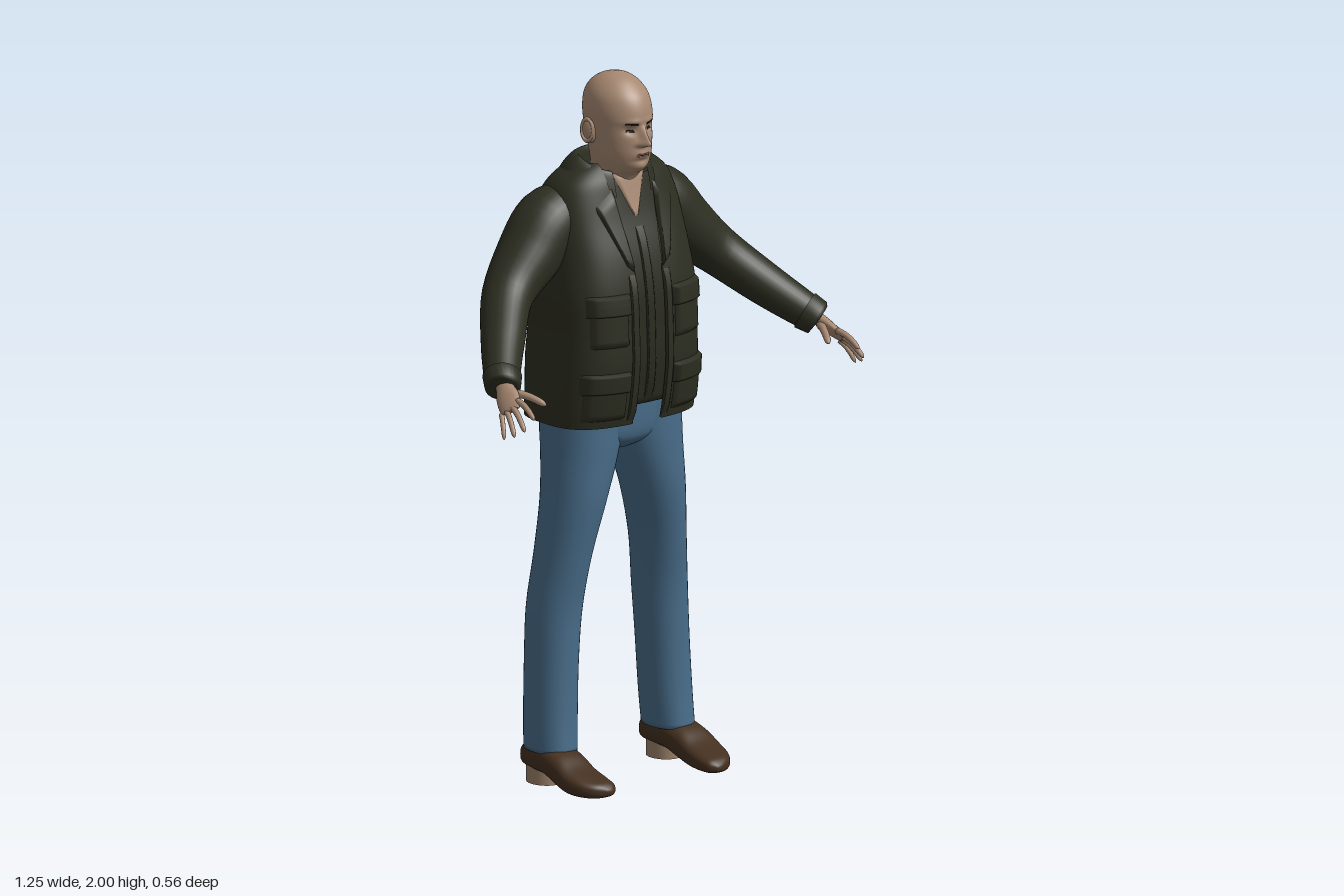
import * as THREE from 'three';

const mat = (name, color, side = THREE.FrontSide) => new THREE.MeshStandardMaterial({ name, color, side });
const { smoothstep } = THREE.MathUtils;

// Catmull-Rom resampling of rows of numbers, k steps per span
function smooth(rows, k = 5) {
  const out = [], at = i => rows[Math.min(Math.max(i, 0), rows.length - 1)];
  for (let i = 0; i < rows.length - 1; i++) for (let j = 0; j < k; j++) {
    const t = j / k, t2 = t * t, t3 = t2 * t;
    out.push(at(i).map((b, c) => {
      const a = at(i - 1)[c], d = at(i + 1)[c], e = at(i + 2)[c];
      return 0.5 * (2 * b + (d - a) * t + (2 * a - 5 * b + 4 * d - e) * t2 + (3 * b - a - 3 * d + e) * t3);
    }));
  }
  out.push(rows[rows.length - 1]);
  return out;
}

// Skin over rings of points; s = -1 mirrors to the other side
function skin(name, material, rings, { closed = true, caps = true, s = 1 } = {}) {
  const n = rings[0].length, pos = [], idx = [];
  const tri = (a, b, c) => (s > 0 ? idx.push(a, b, c) : idx.push(a, c, b));
  rings.flat().forEach(p => pos.push(p.x * s, p.y, p.z));
  for (let i = 0; i < rings.length - 1; i++) for (let j = 0; j < (closed ? n : n - 1); j++) {
    const a = i * n + j, b = i * n + (j + 1) % n;
    tri(a, a + n, b);
    tri(b, a + n, b + n);
  }
  if (closed && caps) [0, rings.length - 1].forEach(r => {
    const c = rings[r].reduce((q, p) => q.add(p), new THREE.Vector3()).divideScalar(n), k = pos.length / 3;
    pos.push(c.x * s, c.y, c.z);
    for (let j = 0; j < n; j++) {
      const a = r * n + j, b = r * n + (j + 1) % n;
      r ? tri(a, k, b) : tri(a, b, k);
    }
  });
  const g = new THREE.BufferGeometry();
  g.setAttribute('position', new THREE.Float32BufferAttribute(pos, 3));
  g.setIndex(idx);
  g.computeVertexNormals();
  const m = new THREE.Mesh(g, material);
  m.name = name;
  return m;
}

const pw = (v, p) => Math.sign(v) * Math.abs(v) ** p;

// Upright loft: rows [y, halfWidth, zFront, zBack, power, centreX]; gap(y) leaves the front open
function loft(name, material, rows, { n = 40, gap = null, mod = null, s = 1 } = {}) {
  const rings = rows.map(([y, rx, zf, zb, p = 1, cx = 0]) => {
    const g = gap ? Math.asin(Math.min(0.99, gap(y) / rx) ** (1 / p)) : 0;
    return Array.from({ length: n }, (_, j) => {
      const t = Math.PI / 2 + g + (2 * Math.PI - 2 * g) * j / (gap ? n - 1 : n);
      const v = new THREE.Vector3(cx + rx * pw(Math.cos(t), p), y, (zf + zb) / 2 + (zf - zb) / 2 * pw(Math.sin(t), p));
      if (mod) mod(v);
      return v;
    });
  });
  return skin(name, material, rings, { closed: !gap, s });
}

// Loft along a path: rows [x, y, z, radiusAlongRef, otherRadius]
function limb(name, material, rows, ref, s, n = 16) {
  const pts = rows.map(r => new THREE.Vector3(r[0], r[1], r[2]));
  return skin(name, material, rows.map((r, i) => {
    const T = pts[Math.min(i + 1, pts.length - 1)].clone().sub(pts[Math.max(i - 1, 0)]).normalize();
    const u = ref.clone().addScaledVector(T, -ref.dot(T)).normalize(), v = u.clone().cross(T);
    return Array.from({ length: n }, (_, j) => {
      const t = 2 * Math.PI * j / n;
      return pts[i].clone().addScaledVector(u, r[3] * Math.cos(t)).addScaledVector(v, r[4] * Math.sin(t));
    });
  }), { s });
}

// Front depth of an upright loft at (x, y)
const frontZ = rows => (x, y) => {
  let i = 0;
  while (i < rows.length - 2 && rows[i + 1][0] < y) i++;
  const k = Math.min(1, Math.max(0, (y - rows[i][0]) / (rows[i + 1][0] - rows[i][0])));
  const [, rx, zf, zb, p] = rows[i].map((a, c) => a + (rows[i + 1][c] - a) * k);
  const q = Math.max(0, 1 - Math.min(1, Math.abs(x) / rx) ** (2 / p));
  return (zf + zb) / 2 + (zf - zb) / 2 * q ** (p / 2);
};

// Raised panel laid on a front surface; corners bottom-left, bottom-right, top-right, top-left
function panel(name, material, zAt, [bl, br, tr, tl], lift, s = 1, n = 12) {
  const mix = (a, b, k) => a + (b - a) * k;
  const rings = Array.from({ length: n + 1 }, (_, i) => Array.from({ length: n + 1 }, (_, j) => {
    const u = 1 - j / n, v = i / n, edge = !i || !j || i === n || j === n;
    const x = mix(mix(bl[0], br[0], u), mix(tl[0], tr[0], u), v);
    const y = mix(mix(bl[1], br[1], u), mix(tl[1], tr[1], u), v);
    return new THREE.Vector3(x, y, zAt(x, y) + (edge ? -0.003 : lift));
  }));
  return skin(name, material, rings, { closed: false, s: -s < 0 ? 1 : -1 });
}
const rect = (x0, x1, y0, y1) => [[x0, y0], [x1, y0], [x1, y1], [x0, y1]];

export function createModel() {
  const root = new THREE.Group();
  root.name = 'standingMan';
  const add = (...m) => root.add(...m);
  const skinMat = mat('skin', 0xa68871, THREE.DoubleSide), jacket = mat('olive jacket', 0x2d2e21, THREE.DoubleSide);
  const shirt = mat('dark lining', 0x292a1e, THREE.DoubleSide), denim = mat('blue denim', 0x486c89);
  const leather = mat('brown leather', 0x44301f), tan = mat('tan heel', 0x9a8068);
  const dark = mat('dark detail', 0x241c17, THREE.DoubleSide), lip = mat('lips', 0x8c6656, THREE.DoubleSide);

  // Head and neck, with the face shaped by soft bumps
  const headRows = smooth([
    [1.58, 0.06, 0, -0.16, 1], [1.68, 0.06, -0.012, -0.16, 1], [1.715, 0.062, -0.002, -0.16, 1],
    [1.735, 0.062, 0.026, -0.158, 1], [1.755, 0.068, 0.04, -0.157, 1], [1.785, 0.075, 0.046, -0.16, 1],
    [1.82, 0.08, 0.046, -0.168, 1], [1.86, 0.084, 0.043, -0.175, 1], [1.9, 0.086, 0.042, -0.178, 1],
    [1.94, 0.08, 0.028, -0.171, 1], [1.97, 0.063, 0.001, -0.15, 1], [1.99, 0.037, -0.03, -0.117, 1],
    [2, 0.003, -0.07, -0.076, 1]], 8);
  const bell = (d, w) => Math.exp(-((d / w) ** 2));
  const bump = (x, y) => {
    const a = Math.abs(x), nose = smoothstep(y, 1.805, 1.818) * Math.min(1, Math.max(0, (1.872 - y) / 0.05));
    return 0.034 * nose * bell(x, 0.009 + 0.007 * bell(y - 1.816, 0.013)) - 0.011 * bell(a - 0.033, 0.016) * bell(y - 1.855, 0.012)
      + 0.004 * bell(y - 1.879, 0.008) * bell(a - 0.028, 0.03) + 0.004 * bell(x, 0.025) * bell(y - 1.785, 0.01)
      - 0.004 * bell(x, 0.025) * bell(y - 1.768, 0.006) + 0.005 * bell(x, 0.02) * bell(y - 1.748, 0.01);
  };
  add(loft('head', skinMat, headRows, { n: 112, mod: v => { if (v.z > -0.06 && v.y > 1.72) v.z += bump(v.x, v.y); } }));
  const headZ = frontZ(headRows), faceZ = (x, y) => headZ(x, y) + bump(x, y);
  add(panel('mouth', lip, faceZ, rect(-0.025, 0.025, 1.78, 1.79), 0.0015));
  add(panel('mouthLine', dark, faceZ, rect(-0.022, 0.022, 1.7845, 1.7865), 0.0025));

  // Jacket shell, open down the front, over an inner layer
  const bodyRows = smooth([
    [1.03, 0.235, 0.06, -0.27, 0.65], [1.1, 0.235, 0.075, -0.27, 0.65], [1.2, 0.231, 0.088, -0.274, 0.65],
    [1.3, 0.227, 0.086, -0.266, 0.65], [1.4, 0.227, 0.08, -0.278, 0.65], [1.5, 0.22, 0.06, -0.283, 0.68],
    [1.6, 0.212, 0.027, -0.264, 0.72], [1.66, 0.2, 0.01, -0.24, 0.78], [1.7, 0.182, 0, -0.22, 0.85],
    [1.73, 0.15, -0.008, -0.2, 0.95], [1.755, 0.105, -0.012, -0.175, 1]]);
  const innerRows = bodyRows.filter(r => r[0] > 1.07 && r[0] < 1.715)
    .map(([y, rx, zf, zb, p]) => [y, rx - 0.014, zf - 0.012, zb + 0.014, p]);
  const bodyZ = frontZ(bodyRows), innerZ = frontZ(innerRows);
  add(loft('jacketBody', jacket, bodyRows, { n: 72, gap: y => 0.05 + 0.035 * smoothstep(y, 1.5, 1.75) }));
  add(loft('innerLayer', shirt, innerRows, { n: 56 }));
  add(panel('zipFlap', shirt, innerZ, rect(-0.012, 0.018, 1.085, 1.59), 0.006));
  add(panel('openNeck', skinMat, innerZ, [[-0.004, 1.6], [0.004, 1.6], [0.06, 1.725], [-0.06, 1.725]], 0.004));
  add(loft('collar', jacket, smooth([
    [1.712, 0.156, 0.012, -0.222, 0.95], [1.745, 0.138, 0.006, -0.205, 1], [1.768, 0.115, -0.002, -0.182, 1],
    [1.762, 0.1, -0.012, -0.168, 1], [1.71, 0.09, -0.02, -0.16, 1]]),
  { n: 48, gap: () => 0.06, mod: v => { v.y -= 0.045 * Math.max(0, (v.z + 0.1) / 0.1); } }));

  // Hips
  add(loft('hips', denim, smooth([[0.935, 0.05, -0.04, -0.14, 1], [0.96, 0.13, 0, -0.19, 0.9],
    [1, 0.2, 0.016, -0.212, 0.8], [1.1, 0.205, 0.02, -0.215, 0.8]])));

  const V = (x, y, z) => new THREE.Vector3(x, y, z);
  for (const s of [1, -1]) {
    const side = s > 0 ? 'left' : 'right';

    // Ears, eyes and brows
    const ear = new THREE.Mesh(new THREE.SphereGeometry(1, 16, 12), skinMat);
    ear.scale.set(0.009, 0.036, 0.02);
    ear.position.set(0.09 * s, 1.843, -0.08);
    ear.rotation.set(-0.15, -0.45 * s, -0.12 * s);
    const rim = new THREE.Mesh(new THREE.TorusGeometry(0.021, 0.005, 8, 24), skinMat);
    rim.scale.set(0.8, 1.45, 1);
    rim.position.set(0.095 * s, 1.845, -0.083);
    rim.rotation.y = Math.PI / 2 - 0.45 * s;
    ear.name = side + 'Ear';
    rim.name = side + 'EarRim';
    add(ear, rim);
    const flip = q => (s > 0 ? q : [q[1], q[0], q[3], q[2]].map(([x, y]) => [-x, y]));
    const put = (name, m, zAt, q, lift) => add(panel(side + name, m, zAt, flip(q), lift));
    put('Eye', dark, faceZ, [[0.02, 1.85], [0.045, 1.85], [0.041, 1.857], [0.024, 1.857]], 0.002);
    put('Brow', dark, faceZ, [[0.013, 1.868], [0.05, 1.873], [0.05, 1.877], [0.013, 1.875]], 0.002);

    // Lapel, front edge and flap pockets
    put('Lapel', jacket, bodyZ, [[0.05, 1.46], [0.07, 1.48], [0.135, 1.645], [0.072, 1.69]], 0.011);
    put('FrontEdge', jacket, bodyZ, rect(0.047, 0.072, 1.032, 1.47), 0.006);
    [[0.08, 0.19, 1.26, 1.4], [0.08, 0.205, 1.05, 1.18]].forEach(([a, b, c, d]) => {
      put('Pocket', jacket, bodyZ, rect(a, b, c, d), 0.01);
      put('PocketFlap', jacket, bodyZ, rect(a - 0.006, b + 0.006, d - 0.05, d + 0.01), 0.018);
    });

    // Sleeve and cuff
    const up = V(0.65, 0.75, 0);
    add(limb(side + 'Sleeve', jacket, smooth([
      [0.11, 1.61, -0.13, 0.08, 0.085], [0.19, 1.59, -0.13, 0.097, 0.097], [0.27, 1.51, -0.122, 0.089, 0.094],
      [0.37, 1.42, -0.09, 0.069, 0.074], [0.46, 1.33, 0, 0.06, 0.062], [0.525, 1.268, 0.075, 0.052, 0.052],
      [0.555, 1.24, 0.115, 0.046, 0.047]]), up, s, 28));
    add(limb(side + 'Cuff', jacket, [[0.534, 1.259, 0.088, 0.046, 0.046], [0.536, 1.257, 0.09, 0.055, 0.054],
      [0.557, 1.238, 0.118, 0.05, 0.05], [0.559, 1.236, 0.12, 0.042, 0.042]], up, s, 28));

    // Hand: palm, four fingers and thumb
    const across = V(-0.038, 0.04, 0.035);
    add(limb(side + 'Palm', skinMat, smooth([[0.545, 1.25, 0.1, 0.024, 0.021], [0.556, 1.236, 0.125, 0.026, 0.018],
      [0.57, 1.215, 0.156, 0.035, 0.016], [0.584, 1.196, 0.186, 0.032, 0.011], [0.588, 1.19, 0.194, 0.024, 0.006]]), across, s));
    [['IndexFinger', V(0.566, 1.216, 0.194), V(0.575, 1.18, 0.277), 0.0085],
      ['MiddleFinger', V(0.581, 1.2, 0.19), V(0.6, 1.148, 0.266), 0.0085],
      ['RingFinger', V(0.592, 1.187, 0.178), V(0.615, 1.13, 0.24), 0.008],
      ['LittleFinger', V(0.598, 1.176, 0.163), V(0.622, 1.117, 0.204), 0.007],
      ['Thumb', V(0.55, 1.225, 0.138), V(0.5, 1.2, 0.237), 0.011]].forEach(([name, a, b, r]) => {
      const at = (k, w) => {
        const p = a.clone().lerp(b, k);
        return [p.x, p.y + 0.008 * Math.sin(Math.PI * k), p.z, r * w, r * w];
      };
      add(limb(side + name, skinMat, smooth([at(0, 1.1), at(0.35, 1), at(0.65, 0.95), at(0.9, 0.8), at(1, 0.15)], 3), across, s, 10));
    });

    // Trouser leg
    add(loft(side + 'TrouserLeg', denim, smooth([
      [0.1, 0.063, -0.02, -0.186, 0.9, 0.208], [0.2, 0.066, -0.028, -0.19, 0.9, 0.203], [0.35, 0.068, -0.031, -0.196, 0.95, 0.196],
      [0.5, 0.073, -0.028, -0.198, 1, 0.186], [0.65, 0.073, -0.008, -0.19, 1, 0.167], [0.8, 0.085, 0.014, -0.19, 1, 0.14],
      [0.92, 0.1, 0.019, -0.203, 0.95, 0.116], [1, 0.105, 0.02, -0.214, 0.9, 0.106], [1.1, 0.1, 0.02, -0.214, 0.9, 0.103]]), { s }));

    // Shoe: rows [z, centreX, halfWidth, yTop, yBottom]
    const shoe = smooth([[-0.192, 0.21, 0.015, 0.09, 0.055], [-0.18, 0.21, 0.042, 0.108, 0.042], [-0.13, 0.212, 0.055, 0.12, 0.038],
      [-0.07, 0.214, 0.058, 0.12, 0.034], [-0.01, 0.217, 0.059, 0.104, 0.014], [0.04, 0.218, 0.061, 0.076, 0.004],
      [0.09, 0.212, 0.055, 0.058, 0.003], [0.125, 0.202, 0.038, 0.046, 0.007], [0.143, 0.194, 0.008, 0.03, 0.016]]);
    add(skin(side + 'Shoe', leather, shoe.map(([z, cx, w, t, b]) => Array.from({ length: 28 }, (_, j) => {
      const a = 2 * Math.PI * j / 28;
      return V(cx + w * pw(Math.cos(a), 0.75), (t + b) / 2 - (t - b) / 2 * pw(Math.sin(a), 0.75), z);
    })), { s }));
    [['Heel', tan, 1, 0.05, 0.027], ['HeelPad', dark, 0.7, 0.004, 0.002]].forEach(([name, m, k, h, y]) => {
      const heel = new THREE.Mesh(new THREE.CylinderGeometry(1, 1, h, 28), m);
      heel.scale.set(0.046 * k, 1, 0.054 * k);
      heel.position.set(0.212 * s, y, -0.126);
      heel.name = side + name;
      add(heel);
    });
  }
  return root;
}
